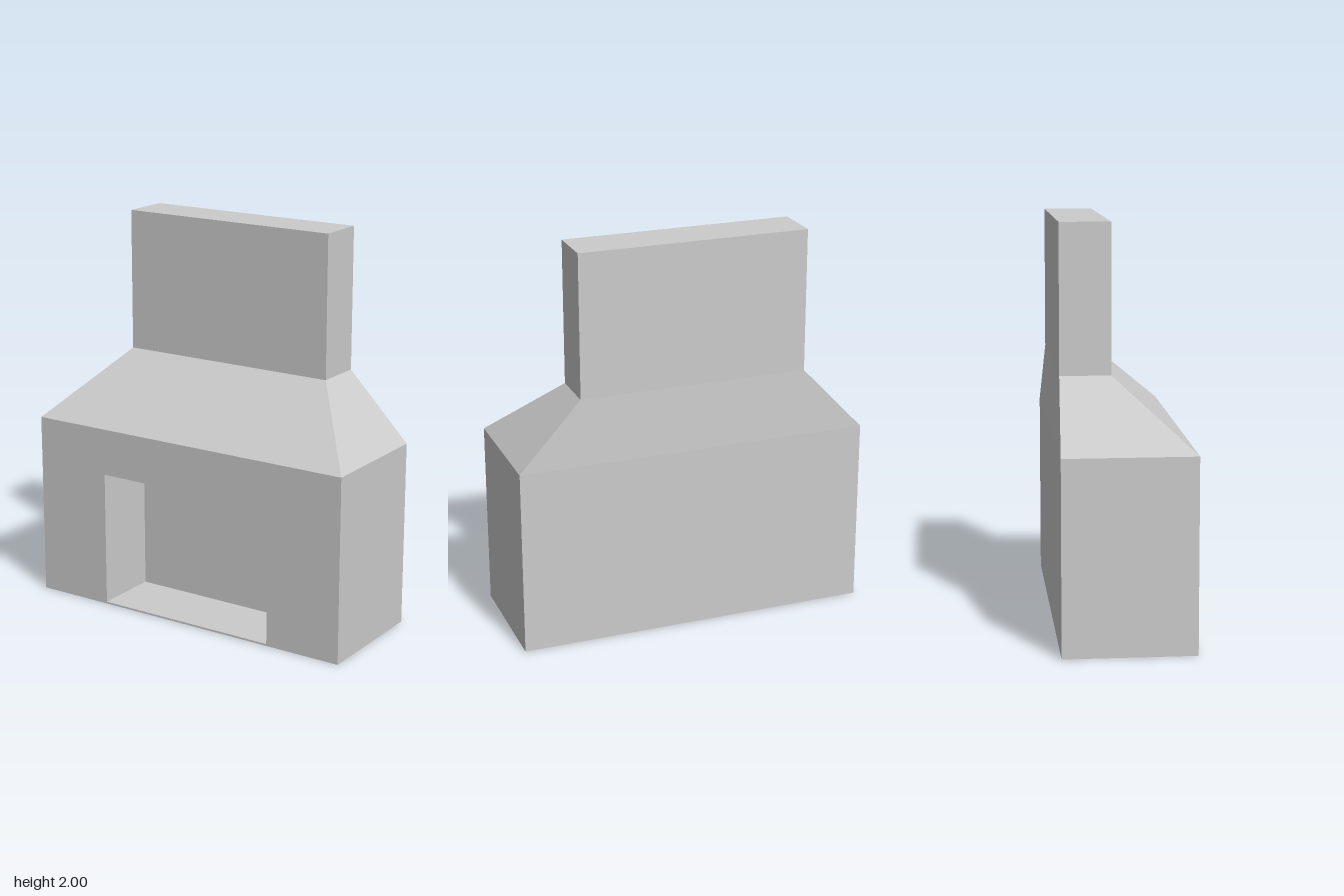
import * as THREE from 'three';

const material = new THREE.MeshStandardMaterial({ color: 0xcccccc, flatShading: true });

// Mesh from four-cornered faces, corners counter-clockwise seen from outside
function quadMesh(name, quads) {
  const points = quads.flatMap(([a, b, c, d]) => [a, b, c, a, c, d]);
  const geometry = new THREE.BufferGeometry();
  geometry.setAttribute('position', new THREE.Float32BufferAttribute(points.flat(), 3));
  geometry.computeVertexNormals();
  const mesh = new THREE.Mesh(geometry, material);
  mesh.name = name;
  return mesh;
}

// Horizontal rectangle, starting at the front
const section = (y, x, back, front) => [[-x, y, front], [x, y, front], [x, y, back], [-x, y, back]];

// Faces joining two four-cornered rings
const band = (a, b) => a.map((p, i) => [p, a[(i + 1) % 4], b[(i + 1) % 4], b[i]]);

export function createModel() {
  const group = new THREE.Group();
  const halfWidth = 0.895, front = 0.32, shoulder = 0.945;
  const base = section(0, halfWidth, -front, front);
  const mantel = section(shoulder, halfWidth, -front, front);
  const neck = section(1.28, 0.58, -0.305, -0.06);
  const top = section(2, 0.58, -0.305, -0.06);

  // Sides, back and underside of the hearth block; its front has the opening
  group.add(quadMesh('body', [...band(base, mantel).slice(1), [...base].reverse()]));
  group.add(quadMesh('hood', band(neck.length ? mantel : base, neck)));
  group.add(quadMesh('chimney', [...band(neck, top), top]));

  // Front wall with the opening cut out
  const opening = [[-0.49, 0.01], [0.49, 0.01], [0.49, 0.705], [-0.49, 0.705]];
  const vectors = (pts) => pts.map(([x, y]) => new THREE.Vector2(x, y));
  const wall = new THREE.Shape(vectors([[-halfWidth, 0], [halfWidth, 0], [halfWidth, shoulder], [-halfWidth, shoulder]]));
  wall.holes.push(new THREE.Path(vectors(opening)));
  const frontWall = new THREE.Mesh(new THREE.ShapeGeometry(wall), material);
  frontWall.name = 'frontWall';
  frontWall.position.z = front;
  group.add(frontWall);

  // Recess behind the opening
  const ring = (z) => opening.map(([x, y]) => [x, y, z]);
  group.add(quadMesh('firebox', [...band(ring(front), ring(-0.02)), ring(-0.02)]));

  return group;
}
